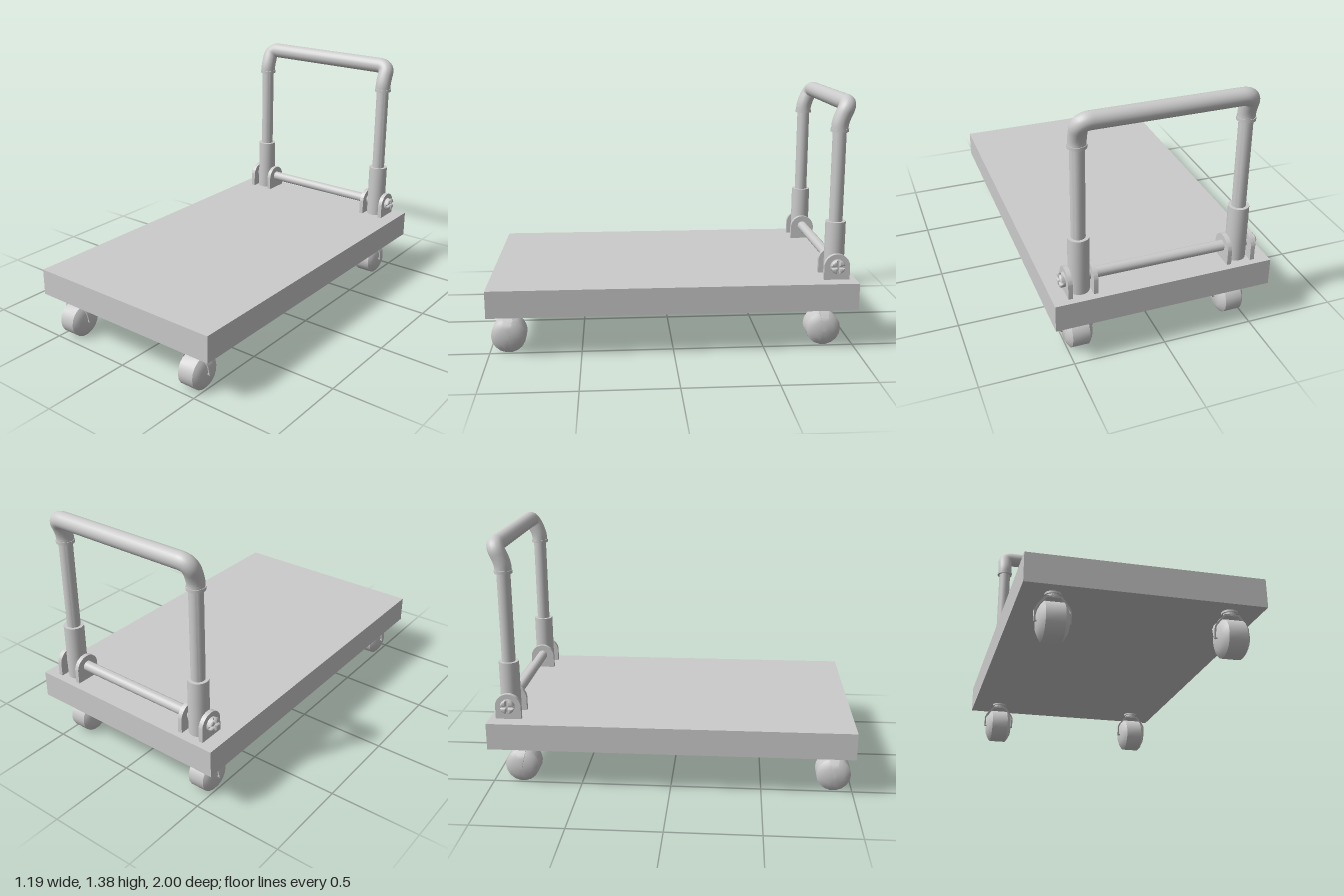
import * as THREE from 'three';
import { toCreasedNormals } from 'three/addons/utils/BufferGeometryUtils.js';

const material = new THREE.MeshStandardMaterial({ color: 0xcccccc, side: THREE.DoubleSide });
const POST_X = 0.437, POST_Z = -0.893, DECK_BOTTOM = 0.237, DECK_TOP = 0.387, PIVOT_Y = 0.464;

function add(parent, name, geometry, x = 0, y = 0, z = 0) {
  const mesh = new THREE.Mesh(toCreasedNormals(geometry, 0.6), material);
  mesh.name = name;
  mesh.position.set(x, y, z);
  parent.add(mesh);
  return mesh;
}

// Upright cylinder between two heights
function column(parent, name, radius, y0, y1, x, z, sides = 20) {
  return add(parent, name, new THREE.CylinderGeometry(radius, radius, y1 - y0, sides), x, (y0 + y1) / 2, z);
}

// Bent strap over the wheel, tapering to a point at the axle
function forkGeometry() {
  const half = [[0.088, 0.092], [0.088, 0.148], [0.078, 0.168], [0.045, 0.206], [0.038, 0.214]];
  const inner = [[0.030, 0.206], [0.039, 0.2], [0.071, 0.164], [0.080, 0.146], [0.080, 0.092]];
  const mirror = (list) => list.map(([x, y]) => [-x, y]).reverse();
  const outline = [...half, ...mirror(half), ...mirror(inner), ...inner.slice(0, 5)];
  const shape = new THREE.Shape(outline.map(([x, y]) => new THREE.Vector2(x, y)));
  const geometry = new THREE.ExtrudeGeometry(shape, { depth: 2, bevelEnabled: false });
  geometry.translate(0, 0, -1);
  const p = geometry.attributes.position;
  for (let i = 0; i < p.count; i++) {
    const t = (p.getY(i) - 0.092) / 0.122;
    p.setZ(i, p.getZ(i) * (0.005 + 0.027 * t));
  }
  geometry.computeVertexNormals();
  return geometry;
}

function caster(x, z) {
  const group = new THREE.Group();
  group.name = 'caster';
  group.position.set(x, 0, z);
  column(group, 'mountingPlate', 0.04, 0.227, DECK_BOTTOM, 0, 0);
  column(group, 'swivel', 0.032, 0.208, 0.228, 0, 0);
  add(group, 'fork', forkGeometry());
  // Barrel wheel with sloping shoulders
  const profile = [[0, -0.073], [0.055, -0.072], [0.08, -0.059], [0.095, -0.047],
    [0.095, 0.047], [0.08, 0.059], [0.055, 0.072], [0, 0.073]];
  const wheel = new THREE.LatheGeometry(profile.map(([r, y]) => new THREE.Vector2(r, y)), 18);
  add(group, 'wheel', wheel.rotateZ(Math.PI / 2), 0, 0.095, 0);
  add(group, 'axle', new THREE.CylinderGeometry(0.006, 0.006, 0.168, 8).rotateZ(Math.PI / 2), 0, 0.097, 0);
  return group;
}

// Round-topped plate standing on the deck, facing x
function bracketGeometry(thickness) {
  const r = 0.071, rise = PIVOT_Y - DECK_TOP - 0.005;
  const shape = new THREE.Shape();
  shape.moveTo(-r, 0);
  shape.lineTo(r, 0);
  shape.lineTo(r, rise);
  shape.absarc(0, rise, r, 0, Math.PI, false);
  shape.closePath();
  return new THREE.ExtrudeGeometry(shape, { depth: thickness, bevelEnabled: false, curveSegments: 16 })
    .translate(0, 0, -thickness / 2).rotateY(Math.PI / 2);
}

// Domed bolt head with a cross slot, pointing outward along +x or -x
function boltHead(side) {
  const group = new THREE.Group();
  group.name = 'boltHead';
  group.position.set(side * 0.514, PIVOT_Y, POST_Z);
  group.rotation.y = side * Math.PI / 2;
  add(group, 'headBase', new THREE.CylinderGeometry(0.037, 0.039, 0.014, 20).rotateX(Math.PI / 2), 0, 0, 0.007);
  const quarter = new THREE.Shape();
  quarter.moveTo(0.015, 0.015);
  quarter.lineTo(0.025, 0.015);
  quarter.absarc(0.005, 0.005, 0.023, 0.45, Math.PI / 2 - 0.45, false);
  quarter.lineTo(0.015, 0.025);
  quarter.closePath();
  for (let i = 0; i < 4; i++) {
    const geometry = new THREE.ExtrudeGeometry(quarter, {
      depth: 0.006, bevelSize: 0.01, bevelThickness: 0.011, bevelSegments: 4, curveSegments: 6 });
    add(group, 'headQuarter', geometry.rotateZ(i * Math.PI / 2), 0, 0, 0.014);
  }
  return group;
}

// Bent push rail with swept-back elbows
function handleGeometry() {
  const v = (x, y, z) => new THREE.Vector3(x, y, z);
  const x = POST_X, z = POST_Z, railY = 1.338, railZ = -0.937, inset = 0.055;
  const path = new THREE.CurvePath();
  const side = (s) => [v(s * x, 1.195, z), v(s * x, 1.215, z), v(s * x, 1.245, z),
    v(s * x, 1.295, -0.916), v(s * x, railY, railZ), v(s * (x - inset), railY, railZ)];
  const a = side(-1), b = side(1);
  path.add(new THREE.LineCurve3(a[0], a[1]));
  path.add(new THREE.QuadraticBezierCurve3(a[1], a[2], a[3]));
  path.add(new THREE.QuadraticBezierCurve3(a[3], a[4], a[5]));
  path.add(new THREE.LineCurve3(a[5], b[5]));
  path.add(new THREE.QuadraticBezierCurve3(b[5], b[4], b[3]));
  path.add(new THREE.QuadraticBezierCurve3(b[3], b[2], b[1]));
  path.add(new THREE.LineCurve3(b[1], b[0]));
  return new THREE.TubeGeometry(path, 140, 0.0455, 20, false);
}

export function createModel() {
  const model = new THREE.Group();
  model.name = 'platformTrolley';

  add(model, 'deck', new THREE.BoxGeometry(1.188, DECK_TOP - DECK_BOTTOM, 2), 0, (DECK_TOP + DECK_BOTTOM) / 2, 0);

  for (const side of [-1, 1]) {
    for (const z of [0.897, -0.838]) model.add(caster(side * POST_X, z));
    // Handle uprights
    column(model, 'sleeve', 0.055, DECK_TOP, 0.7, side * POST_X, POST_Z, 24);
    column(model, 'post', 0.037, 0.69, 1.21, side * POST_X, POST_Z);
    column(model, 'elbowCollar', 0.049, 1.19, 1.207, side * POST_X, POST_Z);
    // Hinge
    add(model, 'outerBracket', bracketGeometry(0.024), side * 0.503, DECK_TOP, POST_Z);
    add(model, 'innerBracket', bracketGeometry(0.024), side * 0.369, DECK_TOP, POST_Z);
    model.add(boltHead(side));
  }

  add(model, 'hingeRod', new THREE.CylinderGeometry(0.029, 0.029, 1.02, 14).rotateZ(Math.PI / 2), 0, PIVOT_Y + 0.003, POST_Z);
  add(model, 'pushRail', handleGeometry());
  return model;
}
